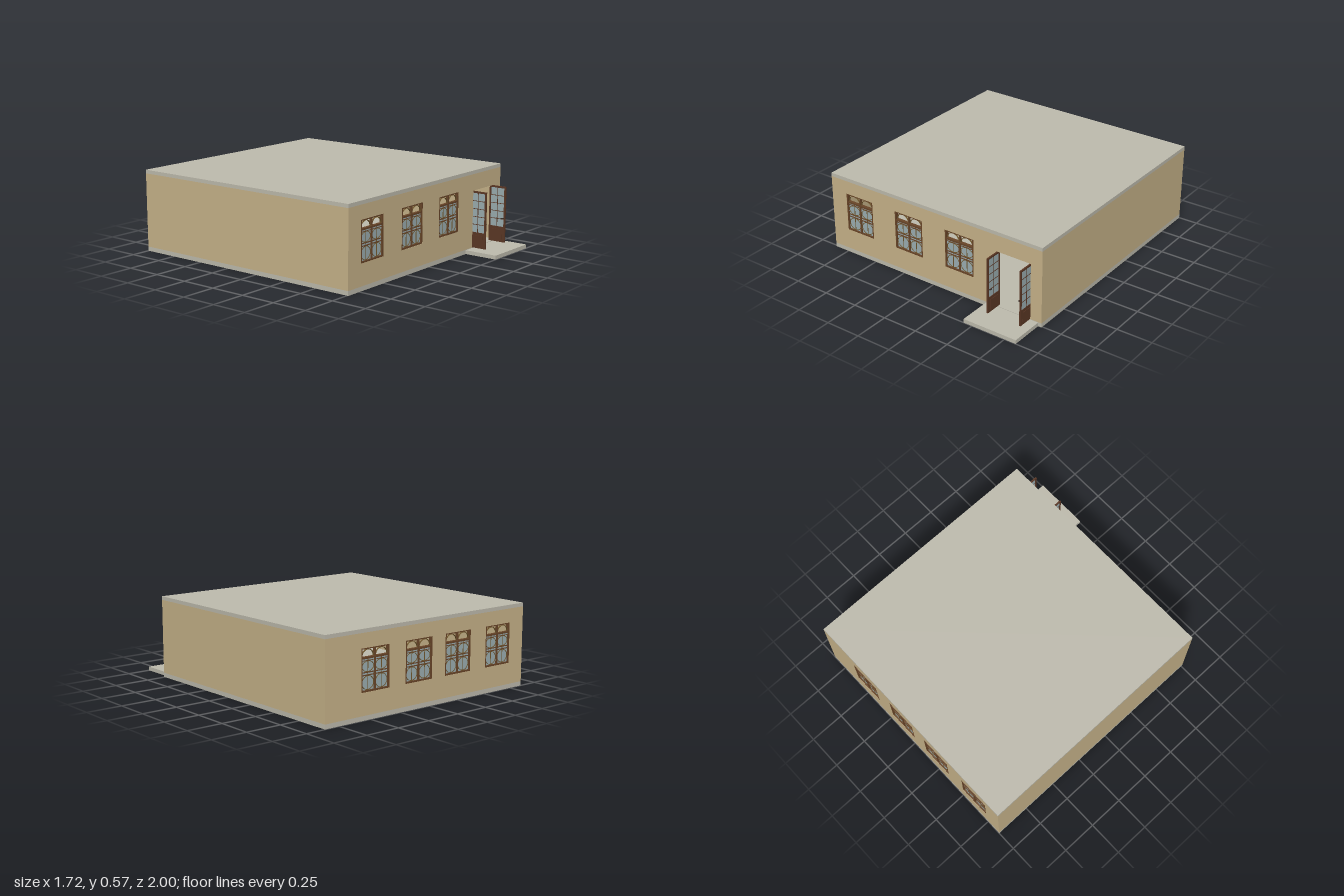
import * as THREE from 'three';

const mat = (name, color) => {
  const m = new THREE.MeshStandardMaterial({ color });
  m.name = name;
  return m;
};

export function createModel() {
  const plaster = mat('plaster', 0xc8b48a);
  const concrete = mat('concrete', 0xbfbcae);
  const wood = mat('window wood', 0x6a4629);
  const ornament = mat('ornament wood', 0x73592d);
  const doorWood = mat('door wood', 0x5c3825);
  const glass = mat('glass', 0x9dafb2);
  const metal = mat('handle metal', 0x3a302a);

  const model = new THREE.Group();
  model.name = 'building';

  // Box from its lower and upper corners
  const box = (parent, name, m, x0, x1, y0, y1, z0, z1) => {
    const mesh = new THREE.Mesh(new THREE.BoxGeometry(x1 - x0, y1 - y0, z1 - z0), m);
    mesh.position.set((x0 + x1) / 2, (y0 + y1) / 2, (z0 + z1) / 2);
    mesh.name = name;
    parent.add(mesh);
    return mesh;
  };
  const group = (name, x, y, z) => {
    const g = new THREE.Group();
    g.name = name;
    g.position.set(x, y, z);
    model.add(g);
    return g;
  };

  const X = 0.86, FRONT = 0.76, BACK = -1, T = 0.03;
  const Y0 = 0.03, Y1 = 0.545, TOP = 0.57;
  const WIN = { w: 0.23, y0: 0.175, y1: 0.45 };
  const DOOR = { x0: 0.515, x1: 0.775, y1: 0.43 };
  const frontWindows = [-0.62, -0.197, 0.22];
  const backWindows = [-0.62, -0.25, 0.095, 0.46];

  // Slabs and entrance step
  box(model, 'floorSlab', concrete, -X, X, 0, Y0, BACK, FRONT);
  box(model, 'roofSlab', concrete, -X, X, Y1, TOP, BACK, FRONT);
  box(model, 'entranceStep', concrete, 0.435, 0.835, 0, 0.027, FRONT, 1);

  // Plain side walls
  for (const s of [-1, 1]) {
    const a = s * X, b = s * (X - T);
    box(model, 'sideWall', plaster, Math.min(a, b), Math.max(a, b), Y0, Y1, BACK + T, FRONT - T);
  }

  // Front and back walls with openings
  const rectPath = (P, x0, x1, y0, y1) => {
    const p = new P();
    p.moveTo(x0, y0);
    p.lineTo(x1, y0);
    p.lineTo(x1, y1);
    p.lineTo(x0, y1);
    p.closePath();
    return p;
  };
  const wall = (name, z, centres, hasDoor) => {
    const shape = hasDoor ? new THREE.Shape([
      [-X, Y0], [DOOR.x0, Y0], [DOOR.x0, DOOR.y1], [DOOR.x1, DOOR.y1],
      [DOOR.x1, Y0], [X, Y0], [X, Y1], [-X, Y1],
    ].map(p => new THREE.Vector2(...p))) : rectPath(THREE.Shape, -X, X, Y0, Y1);
    for (const c of centres) {
      shape.holes.push(rectPath(THREE.Path, c - WIN.w / 2, c + WIN.w / 2, WIN.y0, WIN.y1));
    }
    const mesh = new THREE.Mesh(new THREE.ExtrudeGeometry(shape, { depth: T, bevelEnabled: false }), plaster);
    mesh.position.z = z;
    mesh.name = name;
    model.add(mesh);
  };
  wall('frontWall', FRONT - T, frontWindows, true);
  wall('backWall', BACK, backWindows, false);

  // Thin elliptical bar: a half arch, or a whole ring
  const arch = (parent, x, y, rx, ry, whole) => {
    const t = 0.004, end = whole ? Math.PI * 2 : Math.PI;
    const shape = new THREE.Shape();
    shape.absellipse(0, 0, rx, ry, 0, end, false);
    if (whole) {
      const hole = new THREE.Path();
      hole.absellipse(0, 0, rx - t, ry - t, 0, end, true);
      shape.holes.push(hole);
    } else {
      shape.absellipse(0, 0, rx - t, ry - t, end, 0, true);
      shape.closePath();
    }
    const geo = new THREE.ExtrudeGeometry(shape, { depth: 0.008, bevelEnabled: false, curveSegments: 14 });
    const mesh = new THREE.Mesh(geo, ornament);
    mesh.position.set(x, y, -0.004);
    mesh.name = 'archBar';
    parent.add(mesh);
  };

  // Window: open transom above, two glazed casements below
  const makeWindow = (name, x, z) => {
    const g = group(name, x, 0, z);
    const h = WIN.w / 2, f = 0.011, d = 0.011, { y0, y1 } = WIN;
    for (const s of [-1, 1]) {
      box(g, 'frameSide', wood, s < 0 ? -h : h - f, s < 0 ? -h + f : h, y0, y1, -d, d);
    }
    box(g, 'frameSill', wood, -h + f, h - f, y0, y0 + f, -d, d);
    box(g, 'frameHead', wood, -h + f, h - f, y1 - 0.008, y1, -d, d);
    box(g, 'transomBar', wood, -h + f, h - f, 0.381, 0.393, -d, d);
    box(g, 'mullion', wood, -0.006, 0.006, y0 + f, 0.381, -d + 0.001, d - 0.001);
    box(g, 'transomMullion', wood, -0.004, 0.004, 0.393, y1 - 0.008, -0.008, 0.008);
    for (const s of [-1, 1]) {
      const c = s * 0.055;
      box(g, 'pane', glass, c - 0.049, c + 0.049, y0 + f, 0.381, -0.002, 0.002);
      for (const y of [0.279, 0.296]) {
        box(g, 'glazingRail', wood, c - 0.049, c + 0.049, y - 0.003, y + 0.003, -0.007, 0.007);
      }
      box(g, 'topRail', wood, c - 0.049, c + 0.049, 0.367, 0.371, -0.006, 0.006);
      box(g, 'glazingBar', ornament, c - 0.002, c + 0.002, y0 + f, 0.381, -0.0045, 0.0045);
      arch(g, c, 0.394, 0.049, 0.046, false);
      arch(g, c, 0.333, 0.049, 0.035, true);
      arch(g, c, 0.231, 0.049, 0.045, true);
    }
  };
  frontWindows.forEach(x => makeWindow('frontWindow', x, FRONT - 0.013));
  backWindows.forEach(x => makeWindow('backWindow', x, BACK + 0.013));

  // Open door leaf; side is the direction of its handle face
  const makeDoor = (name, x, side) => {
    const g = group(name, x, 0, 0);
    const z0 = 0.735, z1 = 0.865, y0 = 0.032, y1 = 0.428, t = 0.005, s = 0.012;
    box(g, 'hingeStile', doorWood, -t, t, y0, y1, z0, z0 + s);
    box(g, 'lockStile', doorWood, -t, t, y0, y1, z1 - s, z1);
    box(g, 'topRail', doorWood, -t, t, y1 - s, y1, z0 + s, z1 - s);
    box(g, 'lowerPanel', doorWood, -t, t, y0, 0.142, z0 + s, z1 - s);
    box(g, 'raisedPanel', doorWood, -0.008, 0.008, 0.05, 0.122, z0 + 0.024, z1 - 0.024);
    box(g, 'pane', glass, -0.002, 0.002, 0.142, y1 - s, z0 + s, z1 - s);
    box(g, 'glazingBar', doorWood, -0.004, 0.004, 0.142, y1 - s, 0.798, 0.802);
    for (let i = 1; i < 5; i++) {
      const y = 0.142 + i * 0.0548;
      box(g, 'glazingRail', doorWood, -0.0038, 0.0038, y - 0.002, y + 0.002, z0 + s, z1 - s);
    }
    // Lever handle
    const post = new THREE.Mesh(new THREE.CylinderGeometry(0.003, 0.003, 0.012, 8), metal);
    post.rotation.z = Math.PI / 2;
    post.position.set(side * 0.011, 0.205, 0.857);
    post.name = 'handlePost';
    g.add(post);
    const lever = box(g, 'handleLever', metal, -0.002, 0.002, 0.202, 0.208, 0.837, 0.86);
    lever.position.x = side * 0.016;
  };
  makeDoor('rightDoorLeaf', DOOR.x0 + 0.005, 1);
  makeDoor('leftDoorLeaf', DOOR.x1 - 0.005, -1);

  return model;
}
